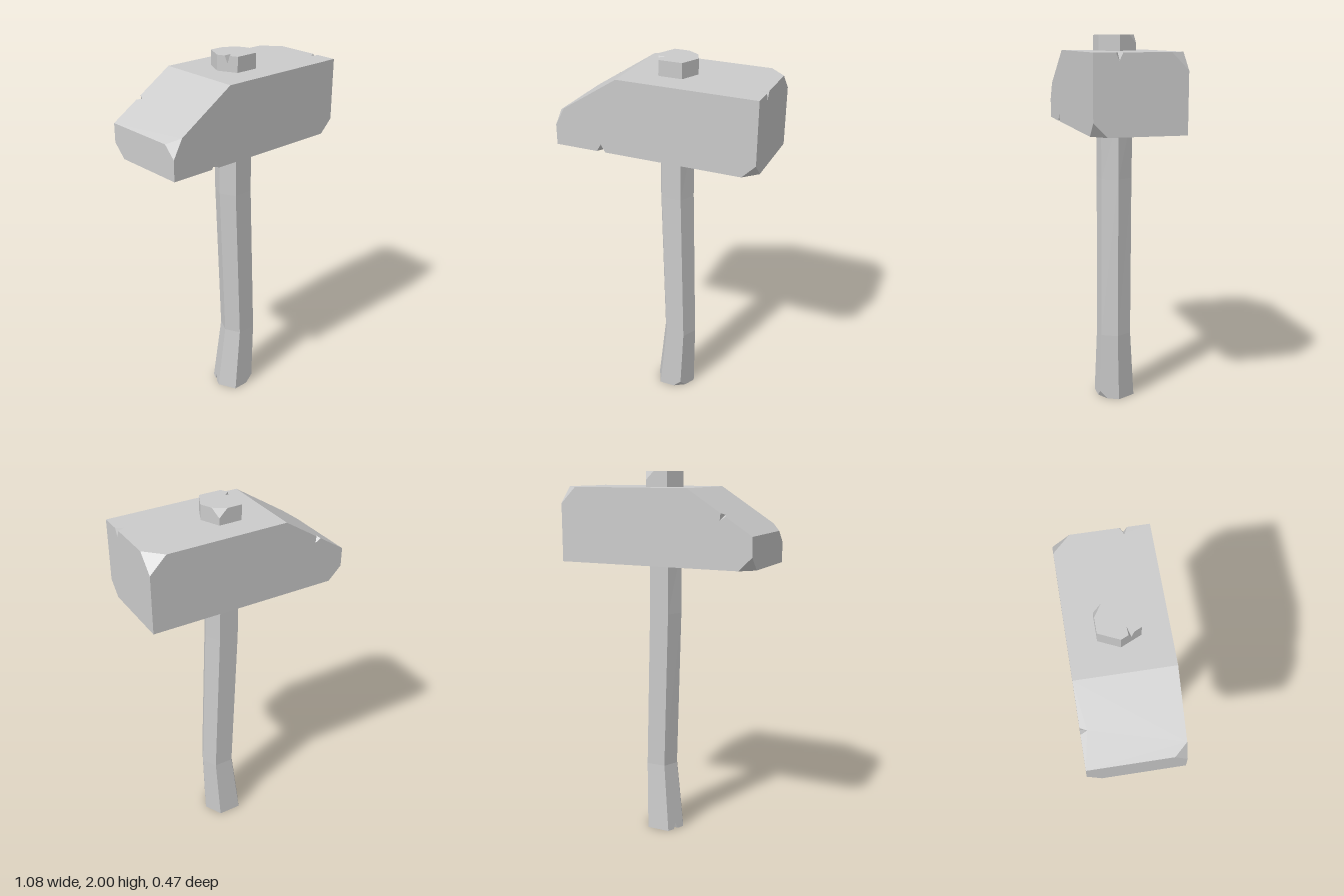
import * as THREE from 'three';

const V = (x, y, z) => new THREE.Vector3(x, y, z);

// Face loops of a prism through a stack of equal-sided rings
function loft(rings) {
  const faces = [[...rings[0]].reverse(), [...rings[rings.length - 1]]];
  for (let r = 0; r < rings.length - 1; r++) {
    const a = rings[r], b = rings[r + 1];
    a.forEach((p, i) => {
      const j = (i + 1) % a.length;
      faces.push([p, a[j], b[j], b[i]]);
    });
  }
  return faces;
}

// Newell normal of a loop
function normalOf(loop) {
  const n = V(0, 0, 0);
  loop.forEach((p, i) => n.add(p.clone().cross(loop[(i + 1) % loop.length])));
  return n.normalize();
}

// Chip off a corner where three faces meet
function chip(faces, corner, d) {
  const towards = (q) => corner.clone().add(q.clone().sub(corner).setLength(d));
  let cap = null;
  for (const loop of faces) {
    const i = loop.findIndex((p) => p.distanceTo(corner) < 1e-4);
    if (i < 0) continue;
    const before = towards(loop[(i + loop.length - 1) % loop.length]);
    const after = towards(loop[(i + 1) % loop.length]);
    loop.splice(i, 1, before, after);
    if (!cap) cap = [after, before];
    else if (cap.length < 3) {
      const third = [before, after].find((p) => cap.every((q) => q.distanceTo(p) > 1e-4));
      if (third) cap.push(third);
    }
  }
  faces.push(cap);
}

// Cut a small V-shaped nick across an edge at point m
function nick(faces, m, w, d) {
  const tips = [];
  let start, end;
  for (const loop of faces) {
    const n = normalOf(loop);
    const i = loop.findIndex((a, k) => {
      const b = loop[(k + 1) % loop.length];
      return a.distanceTo(m) + m.distanceTo(b) - a.distanceTo(b) < 1e-5;
    });
    if (i < 0) continue;
    const e = loop[(i + 1) % loop.length].clone().sub(loop[i]).normalize();
    const p = m.clone().addScaledVector(e, -w), q = m.clone().addScaledVector(e, w);
    const tip = m.clone().addScaledVector(n.cross(e), d);
    loop.splice(i + 1, 0, p, tip, q);
    if (!tips.length) [start, end] = [p, q];
    tips.push(tip);
  }
  faces.push([tips[0], start, tips[1]], [end, tips[0], tips[1]]);
}

// Triangulate the loops into a flat-shaded mesh
function solid(name, faces) {
  const pos = [];
  for (const loop of faces) {
    const n = normalOf(loop);
    const u = loop[1].clone().sub(loop[0]).normalize();
    const v = n.clone().cross(u);
    const flat = loop.map((p) => new THREE.Vector2(p.dot(u), p.dot(v)));
    for (const tri of THREE.ShapeUtils.triangulateShape(flat, []))
      for (const k of tri) pos.push(...loop[k].toArray());
  }
  const geo = new THREE.BufferGeometry();
  geo.setAttribute('position', new THREE.Float32BufferAttribute(pos, 3));
  geo.computeVertexNormals();
  const mesh = new THREE.Mesh(geo, new THREE.MeshStandardMaterial({ color: 0xcccccc, flatShading: true }));
  mesh.name = name;
  return mesh;
}

// Block head with one sloping end
function makeHead() {
  const X = 0.54, Z = 0.235, bottom = 1.525, top = 1.92, low = 1.695;
  const profile = [[-X, bottom], [X, bottom], [X, top], [-0.19, top], [-X, low]];
  const faces = loft([-Z, Z].map((z) => profile.map(([x, y]) => V(x, y, z))));
  chip(faces, V(X, top, -Z), 0.087);
  chip(faces, V(X, bottom, Z), 0.07);
  chip(faces, V(-X, low, Z), 0.062);
  chip(faces, V(-X, bottom, -Z), 0.07);
  nick(faces, V(-0.285, bottom, Z), 0.024, 0.04);
  nick(faces, V(X, top, 0.108), 0.018, 0.038);
  nick(faces, V(-0.19, top, -Z).lerp(V(-X, low, -Z), 0.557), 0.016, 0.032);
  return solid('head', faces);
}

// Bent six-sided handle passing through the head
function makeHandle() {
  const hex = [[1, 0], [0.57, -1], [-0.57, -1], [-1, 0], [-0.57, 1], [0.57, 1]];
  // y, centre x, centre z, half width, half depth
  const rings = [
    [0, 0.042, 0.002, 0.112, 0.098],
    [0.38, 0.068, 0.012, 0.093, 0.082],
    [1.25, 0.04, 0.002, 0.095, 0.083],
    [1.6, 0.038, 0, 0.093, 0.086],
    [1.85, 0.042, 0, 0.108, 0.1],
    [2, 0.042, 0, 0.108, 0.1],
  ].map(([y, cx, cz, rx, rz]) => hex.map(([x, z]) => V(cx + x * rx, y, cz + z * rz)));
  const foot = rings[0], tip = rings[rings.length - 1];
  const faces = loft(rings);
  chip(faces, foot[5], 0.042);
  chip(faces, tip[1], 0.044);
  nick(faces, foot[2].clone().lerp(foot[3], 0.5), 0.015, 0.035);
  nick(faces, tip[3].clone().lerp(tip[4], 0.5), 0.015, 0.038);
  return solid('handle', faces);
}

export function createModel() {
  const model = new THREE.Group();
  model.name = 'hammer';
  model.add(makeHead(), makeHandle());
  return model;
}
